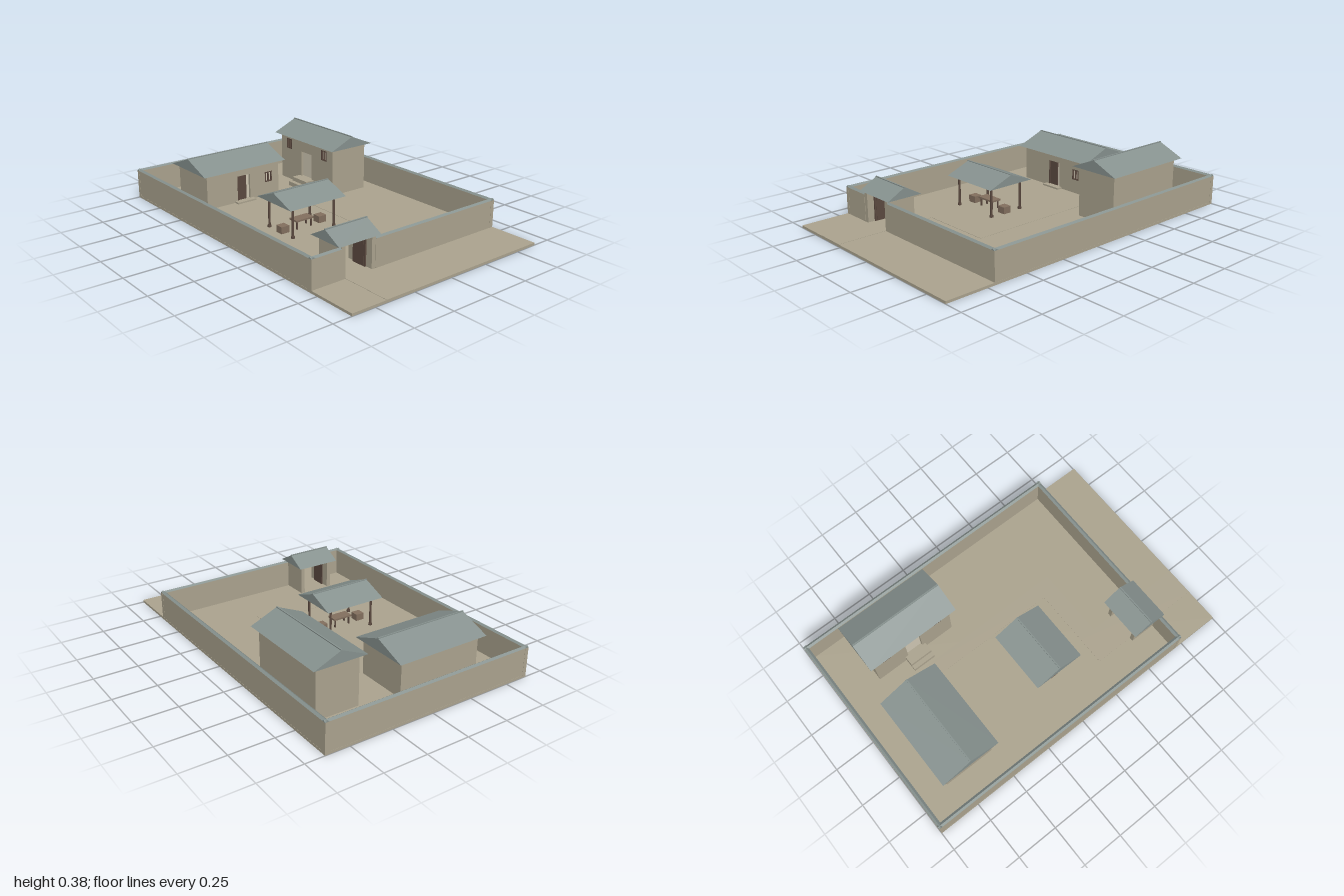
import * as THREE from 'three';

const mat = (name, color, extra = {}) => {
  const m = new THREE.MeshStandardMaterial({ color, ...extra });
  m.name = name;
  return m;
};

export function createModel() {
  const earth = mat('earthen wall', 0xaca48f);
  const slate = mat('roof slate', 0x87928f);
  const wood = mat('timber', 0x83705f);
  const darkWood = mat('dark timber', 0x5c4a40);
  const paper = mat('window paper', 0xd0c8b4);
  const model = new THREE.Group();
  model.name = 'walledCourtyard';
  const G = 0.014; // ground level

  const add = (parent, name, geo, material, x = 0, y = 0, z = 0) => {
    const m = new THREE.Mesh(geo, material);
    m.name = name;
    m.position.set(x, y, z);
    parent.add(m);
    return m;
  };
  // Box given by its ranges
  const box = (parent, name, material, x0, x1, y0, y1, z0, z1) =>
    add(parent, name, new THREE.BoxGeometry(x1 - x0, y1 - y0, z1 - z0), material,
      (x0 + x1) / 2, (y0 + y1) / 2, (z0 + z1) / 2);
  // Triangular prism with its ridge along x, base at y = 0
  const prism = (length, depth, rise) => {
    const s = new THREE.Shape([
      new THREE.Vector2(-depth / 2, 0), new THREE.Vector2(depth / 2, 0), new THREE.Vector2(0, rise)]);
    return new THREE.ExtrudeGeometry(s, { depth: length, bevelEnabled: false })
      .translate(0, 0, -length / 2).rotateY(Math.PI / 2);
  };
  const gableRoof = (parent, length, depth, y, rise, x = 0, z = 0) => {
    add(parent, 'roof', prism(length, depth, rise), slate, x, y, z);
    box(parent, 'roofRidge', slate, x - length / 2, x + length / 2,
      y + rise - 0.006, y + rise + 0.003, z - 0.004, z + 0.004);
  };

  // Ground slab
  box(model, 'ground', earth, -0.64, 0.64, 0, G, -1, 1);

  // Perimeter walls with small tiled copings
  const wallRun = (cx, cz, length, alongZ) => {
    const g = new THREE.Group();
    g.name = 'perimeterWall';
    g.position.set(cx, 0, cz);
    if (alongZ) g.rotation.y = Math.PI / 2;
    box(g, 'wall', earth, -length / 2, length / 2, G, 0.174, -0.0115, 0.0115);
    add(g, 'wallCoping', prism(length, 0.025, 0.009), slate, 0, 0.174, 0);
    model.add(g);
  };
  wallRun(0, -0.9875, 1.28, false);
  for (const s of [-1, 1]) wallRun(s * 0.6275, -0.145, 1.71, true);
  wallRun(-0.5475, 0.6975, 0.185, false);
  wallRun(0.2025, 0.6975, 0.875, false);

  // Gatehouse: side walls, lintels, open leaves and roof
  const gate = new THREE.Group();
  gate.name = 'gatehouse';
  gate.position.set(-0.345, 0, 0.62);
  for (const s of [-1, 1]) {
    add(gate, 'gateSideWall', new THREE.BoxGeometry(0.024, 0.178, 0.175), earth, s * 0.097, G + 0.089, 0);
    add(gate, 'gateLeaf', new THREE.BoxGeometry(0.006, 0.148, 0.08), darkWood, s * 0.078, G + 0.076, -0.005);
    add(gate, 'gateJamb', new THREE.BoxGeometry(0.008, 0.15, 0.012), darkWood, s * 0.081, G + 0.075, 0.04);
  }
  box(gate, 'gateLintel', wood, -0.085, 0.085, 0.164, 0.192, 0.03, 0.05);
  gableRoof(gate, 0.27, 0.22, 0.192, 0.06, 0, -0.01);
  model.add(gate);

  // House facing +z: core, front wall pierced by door and windows, steps, roof
  const house = (name, o) => {
    const g = new THREE.Group();
    g.name = name;
    const { w, d, h, sill, doorW, doorTop, windows } = o;
    const t = 0.018, front = d / 2;
    box(g, 'houseCore', earth, -w / 2, w / 2, G, h, -front, front - t);
    const face = new THREE.Shape();
    face.moveTo(-w / 2, G).lineTo(w / 2, G).lineTo(w / 2, h).lineTo(-w / 2, h).closePath();
    const hole = (x0, x1, y0, y1) => {
      const p = new THREE.Path();
      p.moveTo(x0, y0).lineTo(x0, y1).lineTo(x1, y1).lineTo(x1, y0).closePath();
      face.holes.push(p);
    };
    hole(-doorW / 2, doorW / 2, sill, doorTop);
    for (const [x, y] of windows) {
      hole(x - 0.026, x + 0.026, y - 0.032, y + 0.032);
      box(g, 'windowPaper', paper, x - 0.026, x + 0.026, y - 0.032, y + 0.032, front - t, front - t + 0.003);
      for (const i of [-1, 0, 1])
        box(g, 'windowBar', darkWood, x + i * 0.022 - 0.003, x + i * 0.022 + 0.003,
          y - 0.032, y + 0.032, front - 0.009, front + 0.001);
      for (const i of [-1, 1])
        box(g, 'windowRail', darkWood, x - 0.026, x + 0.026,
          y + i * 0.029 - 0.003, y + i * 0.029 + 0.003, front - 0.009, front + 0.001);
    }
    add(g, 'frontWall', new THREE.ExtrudeGeometry(face, { depth: t, bevelEnabled: false }), earth, 0, 0, front - t);
    // Doorway: pale opening, partly covered by a leaf
    box(g, 'doorOpening', paper, -doorW / 2, doorW / 2, sill, doorTop, front - t, front - t + 0.003);
    if (o.leaf) {
      box(g, 'doorLeaf', darkWood, -doorW / 2 + 0.006, doorW / 2 - 0.024, sill, doorTop, front - 0.012, front - 0.006);
      box(g, 'doorJamb', darkWood, -doorW / 2, -doorW / 2 + 0.006, sill, doorTop, front - 0.014, front + 0.001);
    }
    o.steps.forEach(([reach, top]) =>
      box(g, 'step', earth, -o.stepW / 2, o.stepW / 2, G, top, front, front + reach));
    gableRoof(g, w + 0.06, d + 0.06, h, o.rise);
    model.add(g);
    return g;
  };

  house('mainHouse', {
    w: 0.51, d: 0.31, h: 0.223, rise: 0.07, sill: 0.024, doorW: 0.09, doorTop: 0.175,
    windows: [[0.18, 0.13]], leaf: true, stepW: 0.13, steps: [[0.034, 0.024]],
  }).position.set(-0.195, 0, -0.665);

  const side = house('sideHouse', {
    w: 0.515, d: 0.255, h: 0.305, rise: 0.068, sill: 0.065, doorW: 0.1, doorTop: 0.225,
    windows: [[-0.175, 0.25], [0.175, 0.25]], leaf: false, stepW: 0.14,
    steps: [[0.085, 0.04], [0.058, 0.065]],
  });
  side.position.set(0.4, 0, -0.5);
  side.rotation.y = -Math.PI / 2;

  // Open pavilion with table and stools
  const pavilion = new THREE.Group();
  pavilion.name = 'pavilion';
  pavilion.position.set(-0.18, 0, 0.037);
  for (const sz of [-1, 1]) {
    for (const sx of [-1, 1]) {
      add(pavilion, 'post', new THREE.CylinderGeometry(0.007, 0.007, 0.18, 10), darkWood, sx * 0.142, G + 0.09, sz * 0.108);
      add(pavilion, 'postBase', new THREE.CylinderGeometry(0.011, 0.011, 0.012, 10), darkWood, sx * 0.142, G + 0.006, sz * 0.108);
      add(pavilion, 'tableLeg', new THREE.BoxGeometry(0.008, 0.046, 0.008), darkWood, sx * 0.048, G + 0.023, sz * 0.022);
    }
    add(pavilion, 'beam', new THREE.BoxGeometry(0.3, 0.012, 0.012), wood, 0, 0.188, sz * 0.108);
    add(pavilion, 'stool', new THREE.BoxGeometry(0.052, 0.04, 0.05), wood, sz * 0.13, G + 0.02, 0);
  }
  add(pavilion, 'tableTop', new THREE.BoxGeometry(0.12, 0.01, 0.064), wood, 0, 0.065, 0);
  gableRoof(pavilion, 0.38, 0.31, 0.193, 0.06);
  model.add(pavilion);

  // Faint raised paths from the gate to the houses
  const P = G + 0.0015;
  box(model, 'gatePath', earth, -0.43, -0.26, G, P, 0.3, 1);
  box(model, 'crossPath', earth, -0.26, 0.17, G, P, 0.3, 0.4);
  box(model, 'sidePath', earth, 0.08, 0.17, G, P, -0.5, 0.3);

  return model;
}
